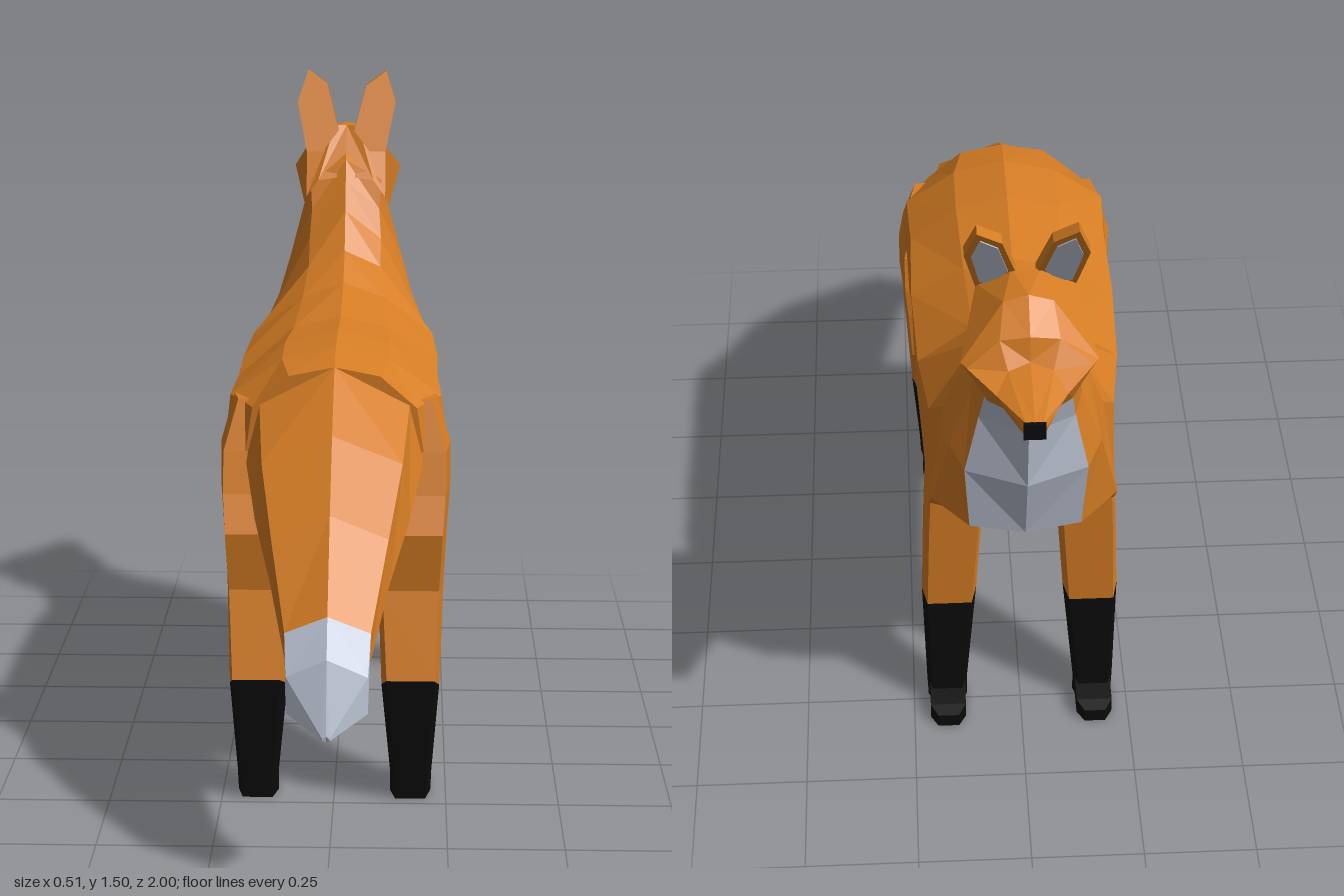
import * as THREE from 'three';

const mat = (name, color, double) => {
  const m = new THREE.MeshStandardMaterial({ color, flatShading: true });
  m.name = name;
  if (double) m.side = THREE.DoubleSide;
  return m;
};

// Joins cross-sections into a faceted skin and mirrors it to the other side.
// from/to pick a band of the section; closed wraps it round; caps close the ends.
function loft(rings, { from = 0, to = rings[0].length - 1, closed = false, capStart = false, capEnd = false } = {}) {
  const pos = [];
  const tri = (a, b, c) => {
    pos.push(...a, ...b, ...c);
    for (const [x, y, z] of [a, c, b]) pos.push(-x, y, z);
  };
  const n = rings[0].length;
  for (let i = 0; i < rings.length - 1; i++) {
    for (let j = from; j < (closed ? n : to); j++) {
      const k = (j + 1) % n;
      const a = rings[i][j], b = rings[i][k], c = rings[i + 1][k], d = rings[i + 1][j];
      tri(a, b, d);
      tri(b, c, d);
    }
  }
  const first = rings[0], last = rings[rings.length - 1];
  for (let k = 1; k < n - 1; k++) {
    if (capStart) tri(first[0], first[k + 1], first[k]);
    if (capEnd) tri(last[0], last[k], last[k + 1]);
  }
  const g = new THREE.BufferGeometry();
  g.setAttribute('position', new THREE.Float32BufferAttribute(pos, 3));
  g.computeVertexNormals();
  return g;
}

// Six-sided leg section: height, front z, back z, inner x, outer x, drop of the side points
const legRing = ([y, zf, zb, xi, xo, drop = 0]) => {
  const zm = (zf + zb) / 2, b = 0.012;
  return [[xi + b, y, zf], [xo - b, y, zf], [xo, y - drop, zm], [xo - b, y, zb], [xi + b, y, zb], [xi, y - drop, zm]];
};

export function createModel() {
  const fox = new THREE.Group();
  fox.name = 'fox';
  const orange = mat('orange fur', 0xd67d24);
  const white = mat('pale fur', 0xbcc4d4);
  const black = mat('black fur', 0x0b0b0b);
  const add = (name, geometry, material) => {
    const mesh = new THREE.Mesh(geometry, material);
    mesh.name = name;
    fox.add(mesh);
    return mesh;
  };

  // Torso, from rump to shoulders: spine, back, flank edge, flank, belly edge, belly
  const at = (z, pts) => pts.map(([x, y]) => [x, y, z]);
  const torso = [
    at(0.40, [[0, 0.97], [0.1, 0.95], [0.18, 0.88], [0.2, 0.75], [0.1, 0.65], [0, 0.63]]),
    at(0.29, [[0, 0.995], [0.12, 0.965], [0.235, 0.885], [0.25, 0.76], [0.14, 0.63], [0, 0.6]]),
    at(0.13, [[0, 1.0], [0.12, 0.97], [0.228, 0.89], [0.225, 0.66], [0.12, 0.6], [0, 0.575]]),
    at(-0.1, [[0, 0.985], [0.11, 0.96], [0.23, 0.89], [0.225, 0.65], [0.11, 0.585], [0, 0.56]]),
    at(-0.35, [[0, 1.02], [0.1, 0.985], [0.22, 0.895], [0.212, 0.64], [0.1, 0.56], [0, 0.54]]),
  ];
  // Neck sections lean forward and rise; the last band is the bib
  const shoulder = [[0, 1.08, -0.47], [0.09, 1.04, -0.47], [0.2, 0.89, -0.51], [0.205, 0.64, -0.53], [0.07, 0.59, -0.53], [0, 0.565, -0.53]];
  const neck = [
    shoulder,
    [[0, 1.17, -0.54], [0.09, 1.1, -0.54], [0.17, 0.95, -0.58], [0.2, 0.75, -0.64], [0.12, 0.71, -0.69], [0, 0.69, -0.695]],
    [[0, 1.24, -0.58], [0.085, 1.17, -0.575], [0.14, 1.05, -0.63], [0.16, 0.93, -0.68], [0.13, 0.89, -0.72], [0, 0.88, -0.765]],
    [[0, 1.29, -0.61], [0.09, 1.24, -0.6], [0.11, 1.15, -0.64], [0.115, 1.07, -0.69], [0.1, 1.04, -0.73], [0, 1.05, -0.8]],
    [[0, 1.32, -0.66], [0.09, 1.27, -0.65], [0.1, 1.2, -0.69], [0.1, 1.17, -0.74], [0.085, 1.16, -0.79], [0, 1.16, -0.82]],
  ];
  add('torso', loft([...torso, shoulder], { capStart: true }), orange);
  add('neck', loft(neck, { to: 4 }), orange);
  add('bib', loft(neck, { from: 4 }), white);

  // Head, from nape to muzzle: crown, brow, cheek, jaw edge, chin
  const head = [
    [[0, 1.25, -0.595], [0.07, 1.24, -0.59], [0.1, 1.2, -0.58], [0.1, 1.12, -0.58], [0, 1.12, -0.62]],
    [[0, 1.37, -0.68], [0.03, 1.37, -0.67], [0.1, 1.32, -0.65], [0.105, 1.15, -0.69], [0, 1.14, -0.7]],
    [[0, 1.37, -0.76], [0.05, 1.355, -0.76], [0.137, 1.25, -0.815], [0.09, 1.155, -0.8], [0, 1.14, -0.81]],
    [[0, 1.315, -0.825], [0.06, 1.305, -0.82], [0.125, 1.25, -0.835], [0.085, 1.16, -0.825], [0, 1.145, -0.83]],
    [[0, 1.265, -0.84], [0.045, 1.255, -0.855], [0.07, 1.235, -0.905], [0.055, 1.175, -0.87], [0, 1.155, -0.85]],
    [[0, 1.237, -0.992], [0.018, 1.236, -0.992], [0.022, 1.222, -0.992], [0.018, 1.202, -0.992], [0, 1.2, -0.992]],
  ];
  add('head', loft(head, { to: 3 }), orange);
  add('chin', loft(head, { from: 3 }), white);
  add('nose', new THREE.BoxGeometry(0.044, 0.037, 0.009), black).position.set(0, 1.2185, -0.9955);

  // Ears: a tilted slab with a pale plate on its forward face
  const outline = [[0.02, 1.36], [0.05, 1.47], [0.1, 1.505], [0.125, 1.43], [0.1, 1.31], [0.06, 1.31]];
  const earRing = (pts, depth) => pts.map(([x, y]) => [x, y, -0.617 - (y - 1.31) * 0.47 - depth]);
  add('ears', loft([earRing(outline, 0), earRing(outline, 0.034)], { closed: true, capStart: true, capEnd: true }), orange);
  const inner = outline.map(([x, y]) => [0.077 + (x - 0.077) * 0.7, 1.415 + (y - 1.415) * 0.76]);
  add('innerEars', loft([earRing(inner, 0.032), earRing(inner, 0.038)], { closed: true, capEnd: true }), white);

  // Tail, from tip to root: ridge, upper edge, lower edge, underside
  const tail = [
    [[0, 0.345, 1.0], [0.008, 0.34, 1.0], [0.008, 0.335, 1.0], [0, 0.33, 0.995]],
    [[0, 0.49, 0.955], [0.083, 0.45, 0.945], [0.083, 0.375, 0.95], [0, 0.33, 0.955]],
    [[0, 0.563, 0.9], [0.088, 0.525, 0.89], [0.085, 0.455, 0.89], [0, 0.39, 0.89]],
    [[0, 0.73, 0.74], [0.122, 0.68, 0.74], [0.125, 0.585, 0.74], [0, 0.51, 0.74]],
    [[0, 0.86, 0.58], [0.15, 0.8, 0.58], [0.165, 0.675, 0.58], [0, 0.6, 0.57]],
    [[0, 0.97, 0.4], [0.165, 0.89, 0.39], [0.195, 0.76, 0.4], [0, 0.62, 0.43]],
    [[0, 0.975, 0.33], [0.16, 0.89, 0.32], [0.19, 0.76, 0.32], [0, 0.65, 0.33]],
  ];
  add('tailTip', loft(tail.slice(0, 3), { capStart: true }), white);
  add('tail', loft(tail.slice(2)), orange);

  // Legs: fur above, black stocking below, and a wedge of a toe
  const leg = (name, fur, stocking, toeZ) => {
    add(name + 'Legs', loft(fur.map(legRing), { closed: true, capStart: true }), orange);
    add(name + 'Stockings', loft(stocking.map(legRing), { closed: true, capEnd: true }), black);
    const toe = (z, h, xi, xo) => [[xi, 0, z], [xi, h, z], [xo, h, z], [xo, 0, z]];
    add(name + 'Toes', loft([
      toe(toeZ + 0.1, 0.05, 0.13, 0.212),
      toe(toeZ + 0.03, 0.04, 0.13, 0.212),
      toe(toeZ, 0.033, 0.147, 0.195),
    ], { closed: true, capEnd: true }), black);
  };
  leg('rear', [
    [0.89, 0.24, 0.36, 0.1, 0.225],
    [0.78, 0.2, 0.4, 0.1, 0.256],
    [0.69, 0.19, 0.43, 0.09, 0.256],
    [0.61, 0.195, 0.468, 0.09, 0.25],
    [0.48, 0.21, 0.455, 0.095, 0.243],
    [0.29, 0.32, 0.51, 0.105, 0.234, 0.04],
  ], [
    [0.29, 0.32, 0.51, 0.105, 0.234, 0.04],
    [0.05, 0.365, 0.475, 0.125, 0.218],
    [0, 0.365, 0.47, 0.125, 0.216],
  ], 0.29);
  leg('front', [
    [0.85, -0.5, -0.4, 0.1, 0.2],
    [0.64, -0.527, -0.35, 0.08, 0.213],
    [0.53, -0.522, -0.365, 0.085, 0.218],
    [0.315, -0.51, -0.4, 0.1, 0.225],
  ], [
    [0.315, -0.51, -0.4, 0.1, 0.225],
    [0.05, -0.515, -0.447, 0.125, 0.218],
    [0, -0.515, -0.45, 0.125, 0.216],
  ], -0.59);

  return fox;
}
